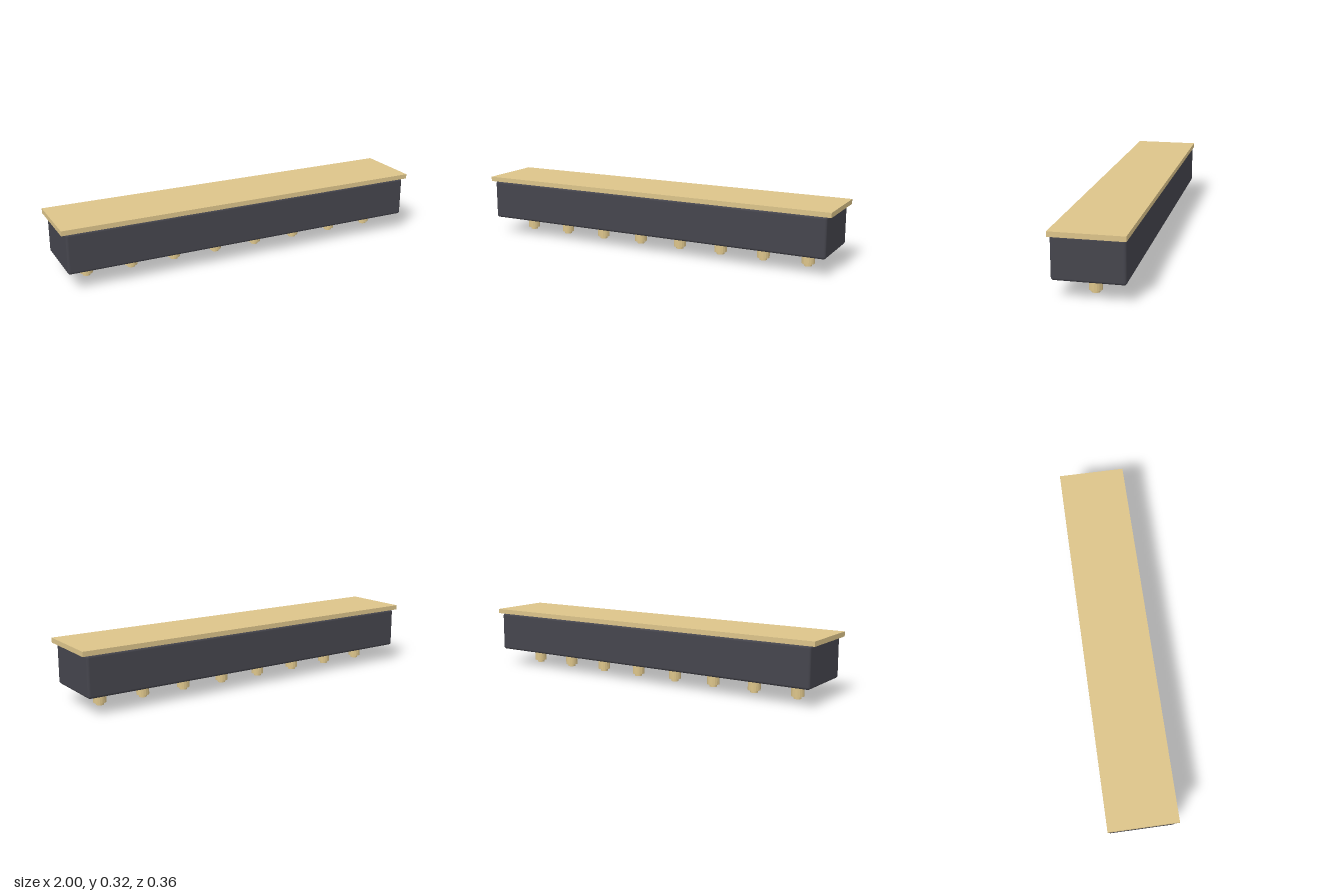
import * as THREE from 'three';
import { RoundedBoxGeometry } from 'three/addons/geometries/RoundedBoxGeometry.js';

export function createModel() {
  const model = new THREE.Group();
  const dark = new THREE.MeshStandardMaterial({ color: 0x45454d });
  const brass = new THREE.MeshStandardMaterial({ color: 0xdcc48a });
  const brassFaceted = new THREE.MeshStandardMaterial({ color: 0xdcc48a, flatShading: true });

  const add = (parent, name, geometry, material, x, y) => {
    const mesh = new THREE.Mesh(geometry, material);
    mesh.name = name;
    mesh.position.set(x, y, 0);
    parent.add(mesh);
  };

  // Housing with softly rounded edges
  add(model, 'housing', new RoundedBoxGeometry(1.954, 0.21, 0.346, 3, 0.013), dark, 0, 0.195);

  // Overhanging top plate
  add(model, 'topPlate', new THREE.BoxGeometry(2, 0.025, 0.356), brass, 0, 0.3125);

  // Row of stepped pins under the housing
  const barrel = new THREE.CylinderGeometry(0.033, 0.033, 0.087, 16);
  const tip = new THREE.CylinderGeometry(0.02, 0.02, 0.016, 16);
  const count = 8, spacing = 0.24;
  for (let i = 0; i < count; i++) {
    const pin = new THREE.Group();
    pin.name = `pin${i + 1}`;
    pin.position.x = (i - (count - 1) / 2) * spacing;
    add(pin, 'pinBarrel', barrel, brassFaceted, 0, 0.0565);
    add(pin, 'pinTip', tip, brassFaceted, 0, 0.008);
    model.add(pin);
  }
  return model;
}
